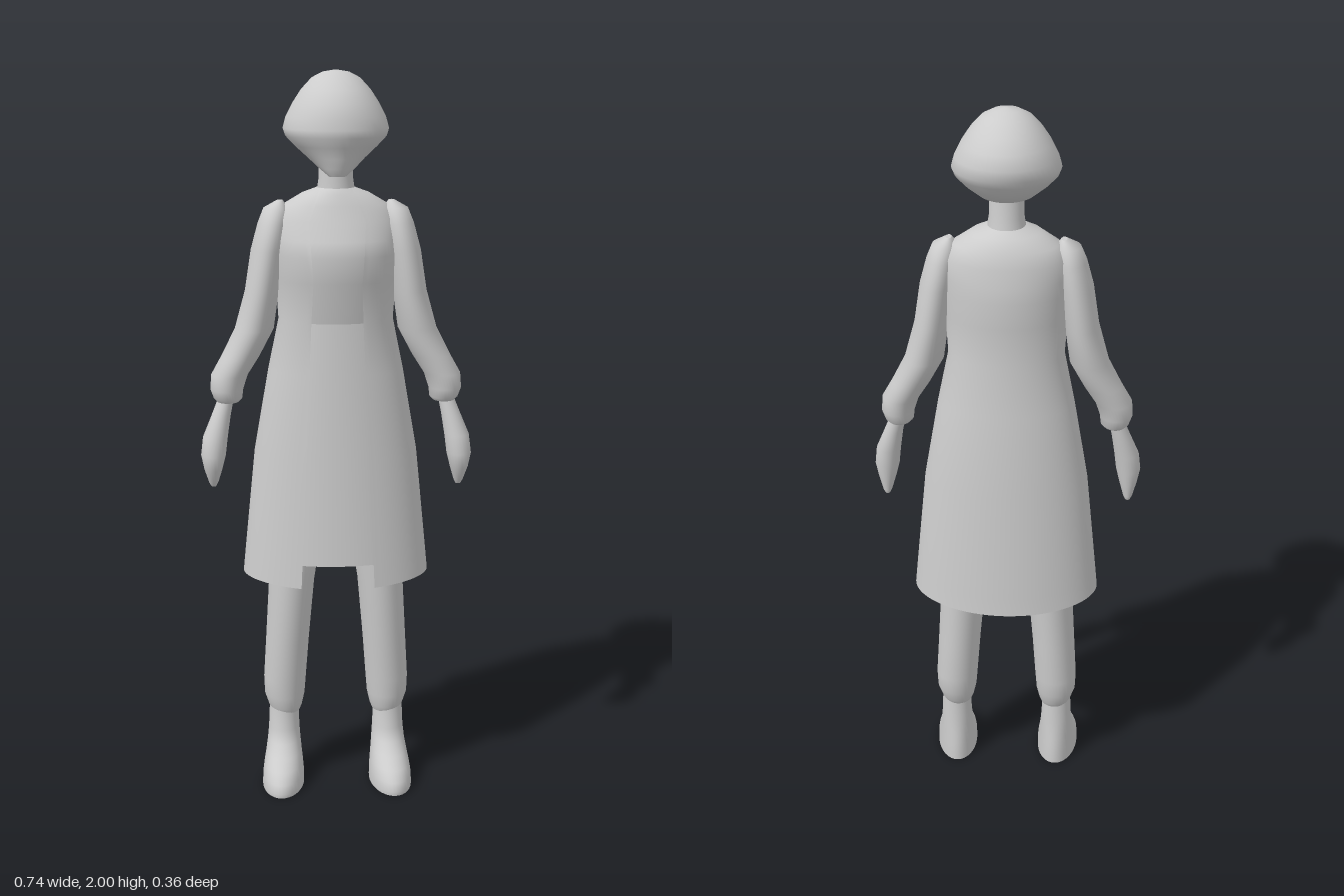
import * as THREE from 'three';

const grey = new THREE.MeshStandardMaterial({ color: 0xcccccc, side: THREE.DoubleSide });
grey.name = 'light grey';

// Loft through elliptical rings, listed from top to bottom: [y, centreX, halfWidth, frontZ, backZ].
// arc(ring) gives [start, end] angles from the front for an open shell; without it the form is closed.
function loft(name, rings, { side = 1, arc = null, sag = 0, seg = 36 } = {}) {
  const pos = [], index = [];
  const point = ([y, cx, rx, zf, zb], a) => {
    const c = Math.cos(a);
    pos.push(side * cx + Math.sin(a) * rx, y - sag * c * c * Math.max(0, 1.2 - y), (zf + zb) / 2 + c * (zf - zb) / 2);
  };
  const cols = arc ? seg + 1 : seg;
  for (const r of rings) {
    const [a0, a1] = arc ? arc(r) : [0, Math.PI * 2];
    for (let j = 0; j < cols; j++) point(r, a0 + (a1 - a0) * j / seg);
  }
  for (let i = 0; i < rings.length - 1; i++) {
    for (let j = 0; j < seg; j++) {
      const k = (j + 1) % cols, a = i * cols, b = a + cols;
      index.push(a + j, b + j, b + k, a + j, b + k, a + k);
    }
  }
  // Flat end caps with their own vertices keep the rims crisp
  if (!arc) {
    [rings[0], rings[rings.length - 1]].forEach((r, end) => {
      const c = pos.length / 3;
      pos.push(side * r[1], r[0], (r[3] + r[4]) / 2);
      for (let j = 0; j < seg; j++) point(r, j / seg * Math.PI * 2);
      for (let j = 0; j < seg; j++) {
        const p = c + 1 + j, q = c + 1 + (j + 1) % seg;
        index.push(c, end ? q : p, end ? p : q);
      }
    });
  }
  const geo = new THREE.BufferGeometry();
  geo.setAttribute('position', new THREE.Float32BufferAttribute(pos, 3));
  geo.setIndex(index);
  geo.computeVertexNormals();
  const mesh = new THREE.Mesh(geo, grey);
  mesh.name = name;
  return mesh;
}

const coatRings = [
  [1.695, 0, 0.05, 0.065, -0.05],
  [1.68, 0, 0.09, 0.078, -0.075],
  [1.65, 0, 0.14, 0.09, -0.10],
  [1.61, 0, 0.165, 0.106, -0.11],
  [1.56, 0, 0.168, 0.128, -0.118],
  [1.52, 0, 0.168, 0.142, -0.121],
  [1.45, 0, 0.163, 0.13, -0.12],
  [1.34, 0, 0.156, 0.107, -0.112],
  [1.2, 0, 0.185, 0.114, -0.132],
  [0.97, 0, 0.225, 0.128, -0.154],
  [0.67, 0, 0.255, 0.146, -0.172],
  [0.618, 0, 0.26, 0.149, -0.176],
];

// Half-width of the coat's front opening at each height
const openingAt = (y) => y > 1.61 ? 0.075 - (y - 1.61) * 0.4
  : y > 1.45 ? 0.075 - (1.61 - y) * 0.06 : 0.065 + (1.45 - y) * 0.043;
const gap = (r) => Math.asin(Math.min(0.95, openingAt(r[0]) / r[2]));
const inset = (d) => ([y, cx, rx, zf, zb]) => [y, cx, rx - d, zf - d, zb + d];
const panelArc = (r) => [-gap(r) - 0.12, gap(r) + 0.12];

const headRings = [
  [2.0, 0, 0.004, 0.01, 0.002],
  [1.995, 0, 0.035, 0.04, -0.03],
  [1.98, 0, 0.064, 0.07, -0.062],
  [1.95, 0, 0.092, 0.106, -0.1],
  [1.915, 0, 0.115, 0.135, -0.128],
  [1.88, 0, 0.133, 0.146, -0.143],
  [1.85, 0, 0.141, 0.152, -0.137],
  [1.83, 0, 0.134, 0.152, -0.125],
  [1.805, 0, 0.11, 0.138, -0.104],
  [1.775, 0, 0.076, 0.128, -0.065],
  [1.75, 0, 0.047, 0.122, 0.03],
  [1.73, 0, 0.022, 0.11, 0.085],
];

const sleeveRings = [
  [1.66, 0.15, 0.008, 0.015, -0.015],
  [1.64, 0.16, 0.034, 0.045, -0.042],
  [1.60, 0.168, 0.042, 0.07, -0.058],
  [1.53, 0.183, 0.046, 0.082, -0.067],
  [1.42, 0.2, 0.046, 0.084, -0.07],
  [1.315, 0.222, 0.053, 0.078, -0.062],
  [1.24, 0.261, 0.052, 0.075, -0.047],
  [1.19, 0.291, 0.05, 0.076, -0.04],
  [1.15, 0.299, 0.045, 0.075, -0.034],
  [1.125, 0.296, 0.039, 0.068, -0.028],
  [1.115, 0.296, 0.03, 0.055, -0.015],
];

const handRings = [
  [1.13, 0.3, 0.021, 0.045, -0.002],
  [1.08, 0.315, 0.026, 0.058, -0.002],
  [1.02, 0.332, 0.034, 0.074, 0.002],
  [0.97, 0.338, 0.034, 0.084, 0.006],
  [0.93, 0.339, 0.025, 0.076, 0.012],
  [0.89, 0.339, 0.013, 0.052, 0.018],
  [0.878, 0.339, 0.007, 0.042, 0.024],
];

const trouserRings = [
  [1.0, 0.085, 0.08, 0.09, -0.09],
  [0.75, 0.112, 0.075, 0.092, -0.08],
  [0.6, 0.125, 0.064, 0.09, -0.075],
  [0.42, 0.138, 0.061, 0.078, -0.072],
  [0.3, 0.146, 0.06, 0.066, -0.07],
  [0.25, 0.147, 0.057, 0.063, -0.064],
  [0.215, 0.145, 0.047, 0.056, -0.052],
  [0.2, 0.144, 0.04, 0.048, -0.042],
];

const footRings = [
  [0.22, 0, 0.041, 0.05, -0.04],
  [0.15, 0, 0.044, 0.056, -0.043],
  [0.115, 0, 0.047, 0.074, -0.046],
  [0.085, 0, 0.051, 0.11, -0.049],
  [0.06, 0, 0.055, 0.148, -0.052],
  [0.035, 0, 0.058, 0.174, -0.054],
  [0.012, 0, 0.059, 0.181, -0.055],
  [0, 0, 0.059, 0.179, -0.055],
];

export function createModel() {
  const model = new THREE.Group();
  model.name = 'figure';

  // Head and neck
  model.add(loft('head', headRings, { seg: 48 }));
  model.add(loft('neck', [
    [1.81, 0, 0.045, 0.055, -0.035],
    [1.72, 0, 0.046, 0.056, -0.042],
    [1.66, 0, 0.055, 0.06, -0.055],
  ]));

  // Open-fronted coat over a bodice and a recessed front skirt
  model.add(loft('coat', coatRings, { arc: (r) => [gap(r), Math.PI * 2 - gap(r)], sag: 0.02, seg: 64 }));
  model.add(loft('bodice', coatRings.slice(0, 8).map(inset(0.002)), { arc: panelArc, seg: 16 }));
  model.add(loft('skirtPanel', coatRings.slice(7, 11).map(inset(0.012)), { arc: panelArc, seg: 16 }));

  // Mirrored limbs
  for (const side of [1, -1]) {
    const label = side > 0 ? 'left' : 'right';
    model.add(loft(label + 'Sleeve', sleeveRings, { side }));
    model.add(loft(label + 'Hand', handRings, { side, seg: 24 }));
    model.add(loft(label + 'TrouserLeg', trouserRings, { side }));
    const foot = loft(label + 'Foot', footRings);
    foot.position.x = side * 0.149;
    foot.rotation.y = side * 0.07;
    model.add(foot);
  }
  return model;
}
